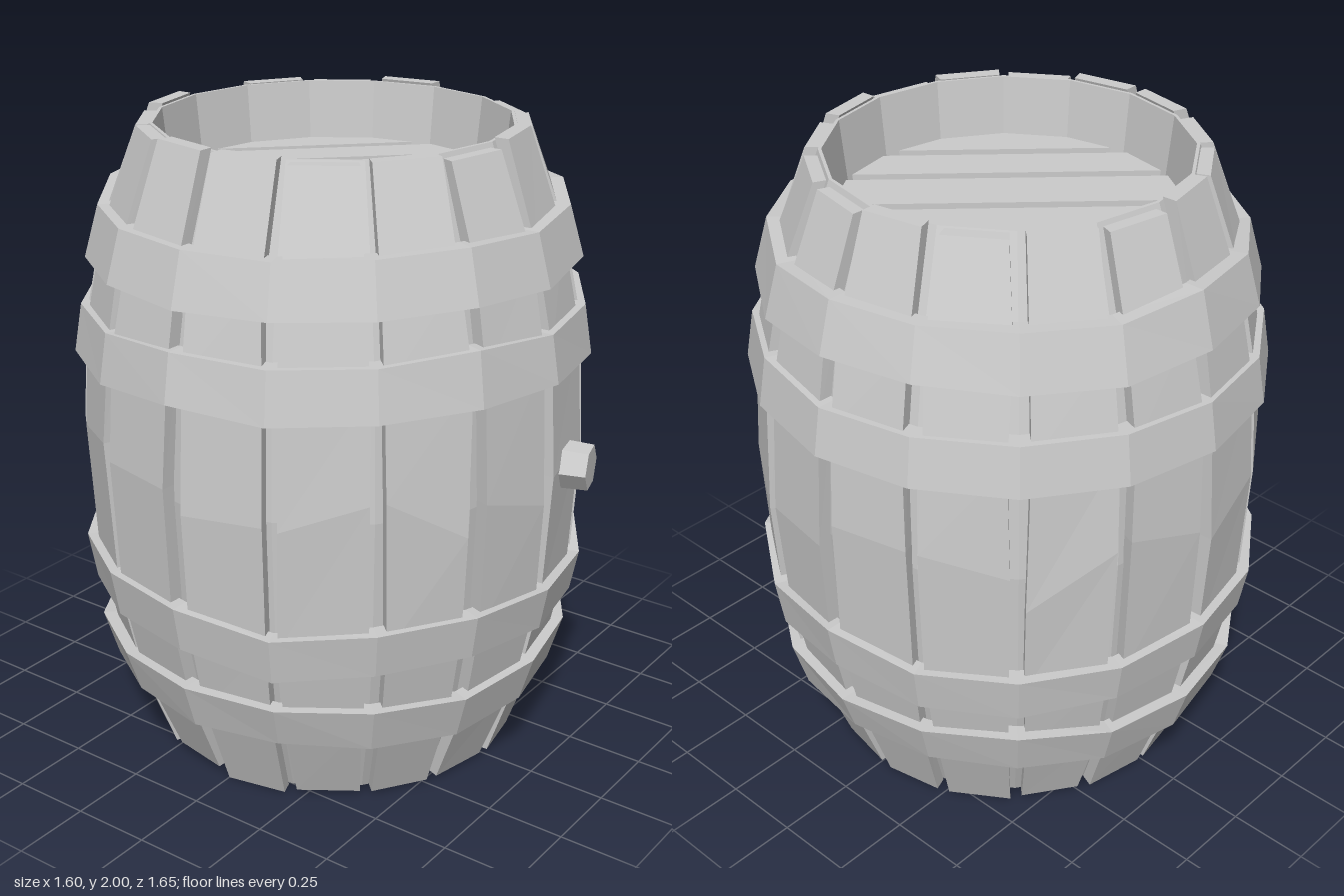
import * as THREE from 'three';

const SIDES = 16;
const STEP = (Math.PI * 2) / SIDES;
const material = new THREE.MeshStandardMaterial({ color: 0xcccccc, flatShading: true });

// Bulging side outline: [height, radius]
const OUTLINE = [[0, 0.59], [0.31, 0.705], [0.6, 0.765], [1, 0.787], [1.4, 0.765], [1.69, 0.705], [2, 0.59]];

let seed = 7;
// Small hand-cut irregularity in the range -amount..amount
function wobble(amount) {
  seed = (seed * 16807) % 2147483647;
  return (seed / 2147483647 * 2 - 1) * amount;
}

const polar = (a, r, y) => [Math.sin(a) * r, y, Math.cos(a) * r];

// Skin through four-cornered sections, either joined in a ring or capped
function loft(sections, ring) {
  const n = sections.length, index = [];
  for (let i = 0; i < (ring ? n : n - 1); i++) {
    for (let j = 0; j < 4; j++) {
      const a = i * 4 + j, b = i * 4 + (j + 1) % 4;
      const c = ((i + 1) % n) * 4 + (j + 1) % 4, d = ((i + 1) % n) * 4 + j;
      index.push(a, b, c, a, c, d);
    }
  }
  if (!ring) {
    const t = (n - 1) * 4;
    index.push(0, 2, 1, 0, 3, 2, t, t + 1, t + 2, t, t + 2, t + 3);
  }
  const g = new THREE.BufferGeometry();
  g.setAttribute('position', new THREE.Float32BufferAttribute(sections.flat(2), 3));
  g.setIndex(index);
  g.computeVertexNormals();
  return g;
}

function add(parent, name, geometry) {
  const mesh = new THREE.Mesh(geometry, material);
  mesh.name = name;
  parent.add(mesh);
  return mesh;
}

// One curved plank of the side, with slightly uneven edges and ends
function staveGeometry(k) {
  const last = OUTLINE.length - 1;
  const push = wobble(0.005);
  return loft(OUTLINE.map(([y, r], i) => {
    const end = i === 0 || i === last;
    const a0 = k * STEP + 0.033 + wobble(0.012);
    const a1 = (k + 1) * STEP - 0.033 + wobble(0.012);
    const inward = k % 4 === 0 ? 0 : Math.abs(wobble(0.025));
    const h = () => end ? y + (i === 0 ? inward : -inward) : y + (i === 3 ? wobble(0.1) : 0);
    const out = r + (end ? 0 : push);
    const h0 = h(), h1 = h();
    return [polar(a0, r - 0.045, h0), polar(a0, out, h0), polar(a1, out, h1), polar(a1, r - 0.045, h1)];
  }), false);
}

// Flat band with an uneven height around the barrel
function hoopGeometry(bottom, top, rBottom, rTop) {
  const sections = [];
  for (let k = 0; k < SIDES; k++) {
    const a = k * STEP, shift = wobble(0.018), dr = wobble(0.004);
    const yt = top + shift + wobble(0.008), yb = bottom + shift + wobble(0.008);
    sections.push([
      polar(a, rTop + dr, yt), polar(a, rBottom + dr, yb),
      polar(a, rBottom - 0.06, yb), polar(a, rTop - 0.06, yt),
    ]);
  }
  return loft(sections, true);
}

// Round lid of parallel planks with gaps, on a backing disc
function makeLid(name) {
  const lid = new THREE.Group();
  lid.name = name;
  const R = 0.53, gap = 0.019;
  const cuts = [-R, -0.375, -0.2, 0.01, 0.215, 0.385, R];
  for (let i = 0; i < cuts.length - 1; i++) {
    const s0 = cuts[i] + (i ? gap : 0);
    const s1 = cuts[i + 1] - (i < cuts.length - 2 ? gap : 0);
    const right = [], left = [];
    for (let t = 0; t <= 3; t++) {
      const s = s0 + (s1 - s0) * t / 3;
      const u = Math.sqrt(Math.max(R * R - s * s, 0.0001));
      right.push(new THREE.Vector2(u, s));
      left.unshift(new THREE.Vector2(-u, s));
    }
    const g = new THREE.ExtrudeGeometry(new THREE.Shape([...right, ...left]), { depth: 0.04, bevelEnabled: false });
    add(lid, 'lidPlank', g.rotateX(-Math.PI / 2).rotateY(-Math.PI / 4));
  }
  add(lid, 'lidBacking', new THREE.CylinderGeometry(0.54, 0.54, 0.03, SIDES));
  return lid;
}

export function createModel() {
  const barrel = new THREE.Group();
  barrel.name = 'barrel';
  const body = new THREE.Group();
  body.name = 'body';
  body.position.z = -0.02;
  barrel.add(body);

  // Inner shell: floor of the grooves and the rims around both lids
  const shell = [[0.515, 0.25], [0.54, 0.008]];
  OUTLINE.forEach(([y, r]) => shell.push([r - 0.04, Math.min(Math.max(y, 0.008), 1.992)]));
  shell.push([0.54, 1.992], [0.515, 1.75]);
  add(body, 'innerShell', new THREE.LatheGeometry(shell.map(p => new THREE.Vector2(...p)), SIDES));

  // Staves
  const staves = new THREE.Group();
  staves.name = 'staves';
  body.add(staves);
  for (let k = 0; k < SIDES; k++) add(staves, 'stave', staveGeometry(k));

  // Hoops
  const hoops = [
    [0.24, 0.385, 0.715, 0.76], [0.52, 0.665, 0.775, 0.8],
    [1.315, 1.465, 0.8, 0.775], [1.605, 1.765, 0.76, 0.715],
  ];
  hoops.forEach(h => add(body, 'hoop', hoopGeometry(...h)));

  // Lids, recessed at both ends
  const topLid = makeLid('topLid');
  topLid.position.y = 1.77;
  const bottomLid = makeLid('bottomLid');
  bottomLid.rotation.set(Math.PI, Math.PI / 2, 0);
  bottomLid.position.y = 0.23;
  body.add(topLid, bottomLid);

  // Bung on the front
  const bung = add(barrel, 'bung', new THREE.CylinderGeometry(0.07, 0.075, 0.12, 6)
    .rotateY(Math.PI / 6 + 0.06).rotateX(Math.PI / 2));
  bung.position.set(0.155, 1.005, 0.752);
  bung.rotation.y = 0.26;

  return barrel;
}
